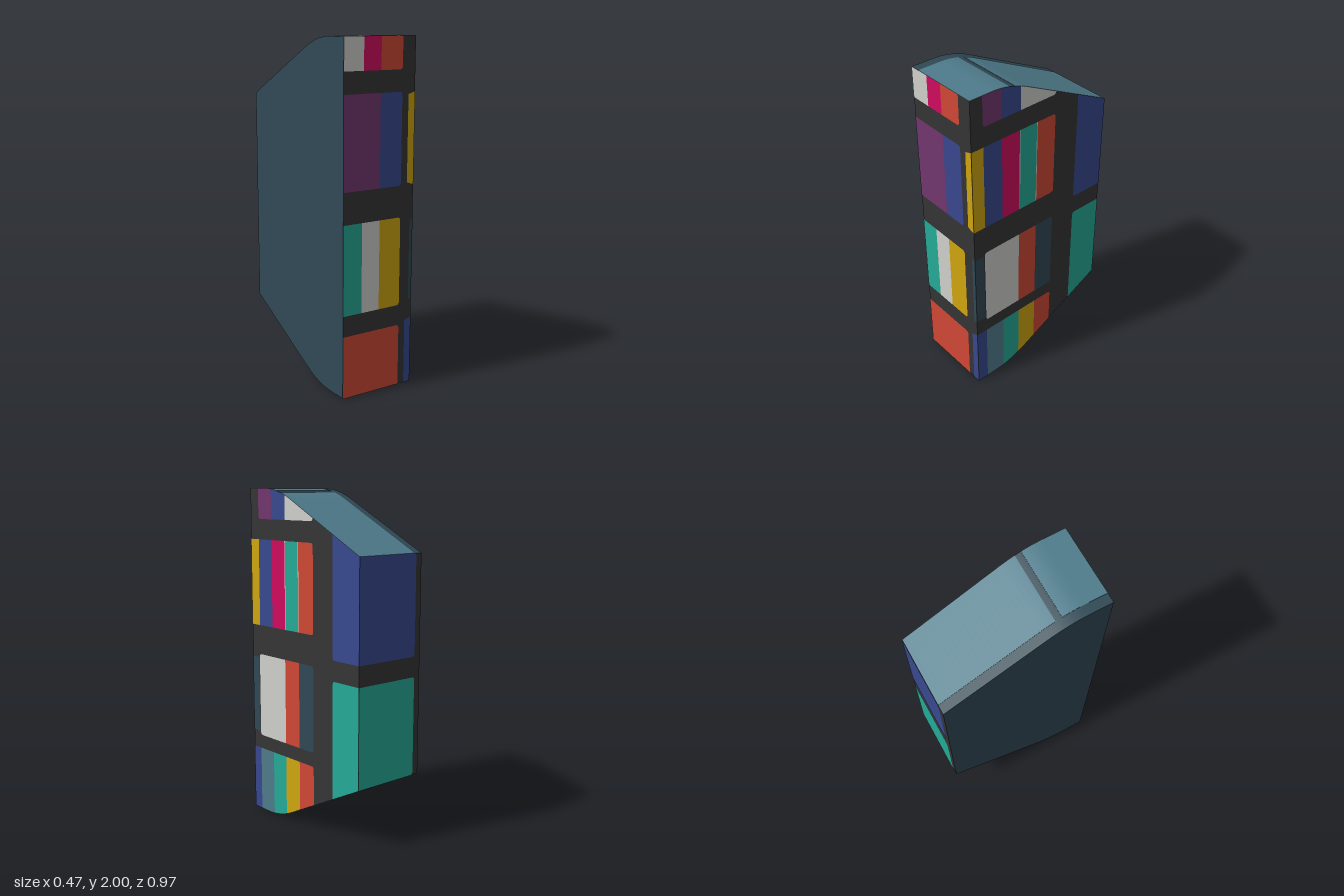
import * as THREE from 'three';
import { toCreasedNormals } from 'three/addons/utils/BufferGeometryUtils.js';

const W = 0.235, D = 0.483, SKIN = 0.002, R = 0.015;

const COLORS = {
  charcoal: 0x353535, darkTeal: 0x304955, slate: 0x4f7c8c, white: 0xd0d0cc, red: 0xd04834,
  yellow: 0xcfa60f, teal: 0x25aa97, blue: 0x38488f, magenta: 0xd00b5e, purple: 0x72376f,
};

// How far the curved roof drops (and the underside rises) at u = -z
function drop(u) {
  const a = -0.345, b = -0.105;
  if (u < a) return 0;
  return u < b ? (u - a) ** 2 * 0.25 / (b - a) : 0.06 + 0.5 * (u - b);
}

// Closed outline between a lower and an upper curve
function outline(us, low, high) {
  const pts = us.map(u => new THREE.Vector2(u, low(u)));
  for (const u of [...us].reverse()) pts.push(new THREE.Vector2(u, high(u)));
  return new THREE.Shape(pts);
}

function steps(a, b, n = 24) {
  return Array.from({ length: n + 1 }, (_, i) => a + (b - a) * i / n);
}

export function createModel() {
  const model = new THREE.Group();
  const mat = {};
  for (const [name, color] of Object.entries(COLORS)) {
    mat[name] = new THREE.MeshStandardMaterial({ color });
    mat[name].name = name;
  }

  // Extrude a (u, y) outline across the width
  function slab(shape, x0, x1) {
    const g = new THREE.ExtrudeGeometry(shape, { depth: x1 - x0, bevelEnabled: false });
    g.translate(0, 0, x0);
    g.rotateY(Math.PI / 2);
    return toCreasedNormals(g, 0.4);
  }

  // Body: charcoal front, back and right side; dark teal roof, underside and left side
  const bodyGeo = slab(outline(steps(-D, D, 48), u => drop(u) + SKIN, u => 2 - SKIN - drop(u)), -W, W);
  bodyGeo.clearGroups();
  const n = bodyGeo.attributes.normal;
  for (let i = 0; i < n.count; i += 3) {
    const dark = n.getX(i) < -0.5 || Math.abs(n.getY(i)) > 0.5;
    bodyGeo.addGroup(i, 3, dark ? 1 : 0);
  }
  const body = new THREE.Mesh(bodyGeo, [mat.charcoal, mat.darkTeal]);
  body.name = 'body';
  model.add(body);

  // Roof and underside panels, split by a seam
  for (const [a, b] of [[-D, -0.225], [-0.188, D]]) {
    const us = steps(a, b);
    const roof = new THREE.Mesh(
      slab(outline(us, u => 2 - SKIN - drop(u), u => 2 - drop(u)), -0.178, W), mat.slate);
    roof.name = 'roofPanel';
    const under = new THREE.Mesh(
      slab(outline(us, u => drop(u), u => drop(u) + SKIN), -0.178, W), mat.slate);
    under.name = 'undersidePanel';
    model.add(roof, under);
  }

  // Flat colour cell; ends named in 'round' (l, r) get clipped corners
  function addCell(face, name, color, u0, u1, v0, v1, round = '') {
    const clip = face.clip ? drop : () => 0;
    const us = [u0, u0 + R * 0.4, u0 + R, ...steps(u0 + R, u1 - R, 10).slice(1), u1 - R * 0.4, u1];
    if (u1 - u0 < 3 * R) us.splice(0, us.length, u0, u1);
    const inset = u => {
      let t = 0;
      if (round.includes('l')) t = Math.max(t, 1 - (u - u0) / R);
      if (round.includes('r')) t = Math.max(t, 1 - (u1 - u) / R);
      return R * (1 - Math.sqrt(Math.max(0, 1 - t * t)));
    };
    const soft = (v, s, edge) => (v === edge ? v : v + s);
    const shape = outline(us,
      u => Math.max(soft(v0, inset(u), 0), clip(u)),
      u => Math.min(soft(v1, -inset(u), 2), 2 - clip(u)));
    const cell = new THREE.Mesh(new THREE.ShapeGeometry(shape), mat[color]);
    cell.name = name;
    cell.position.copy(face.position);
    cell.rotation.y = face.turn;
    model.add(cell);
  }

  const front = { position: new THREE.Vector3(0, 0, D + SKIN), turn: 0 };
  const back = { position: new THREE.Vector3(0, 0, -D - SKIN), turn: Math.PI };
  const side = { position: new THREE.Vector3(W + SKIN, 0, 0), turn: Math.PI / 2, clip: true };

  // Row of neighbouring cells: edges has one more entry than colours
  function addRow(face, name, v0, v1, colors, edges, roundStart) {
    colors.forEach((c, i) => {
      const round = (i === 0 && roundStart ? 'l' : '') + (i === colors.length - 1 ? 'r' : '');
      addCell(face, name, c, edges[i], edges[i + 1], v0, v1, round);
    });
  }

  // Front shelves
  addRow(front, 'frontTopRow', 1.82, 2, ['white', 'magenta', 'red'], [-W, -0.108, 0.005, 0.148]);
  addRow(front, 'frontUpperRow', 1.18, 1.70, ['purple', 'blue'], [-W, 0.003, 0.148]);
  addRow(front, 'frontLowerRow', 0.485, 1.0, ['teal', 'white', 'yellow'], [-W, -0.113, 0.005, 0.148]);
  addRow(front, 'frontBottomRow', 0, 0.365, ['red'], [-W, 0.148]);

  // Slivers that wrap round the front corner
  addCell(front, 'cornerUpper', 'yellow', 0.19, W, 1.18, 1.70, 'l');
  addCell(front, 'cornerLower', 'darkTeal', 0.213, W, 0.51, 0.98);
  addCell(front, 'cornerBottom', 'blue', 0.19, W, 0, 0.40, 'l');

  // Side shelves
  addRow(side, 'sideTopRow', 1.82, 2, ['purple', 'blue', 'white'], [-0.405, -0.28, -0.15, 0.10], true);
  addRow(side, 'sideUpperRow', 1.18, 1.70,
    ['yellow', 'blue', 'magenta', 'white', 'teal', 'white', 'red'],
    [-D, -0.405, -0.28, -0.157, -0.152, -0.035, -0.03, 0.10]);
  addCell(side, 'sideCorner', 'darkTeal', -D, -0.42, 0.51, 0.98);
  addRow(side, 'sideLowerRow', 0.485, 1.0, ['white', 'red', 'darkTeal'], [-0.413, -0.16, -0.03, 0.10], true);
  addRow(side, 'sideBottomRow', 0, 0.40,
    ['blue', 'slate', 'teal', 'yellow', 'red'], [-D, -0.413, -0.283, -0.16, -0.03, 0.10]);

  // Large blocks that wrap from the side to the back
  for (const [name, color, v0, v1] of [['upperBlock', 'blue', 1.06, 2], ['lowerBlock', 'teal', 0, 0.94]]) {
    addCell(side, name + 'Side', color, 0.268, D, v0, v1, 'l');
    addCell(back, name + 'Back', color, -W, 0.192, Math.max(v0, 0.355), Math.min(v1, 1.645), 'r');
  }
  return model;
}
